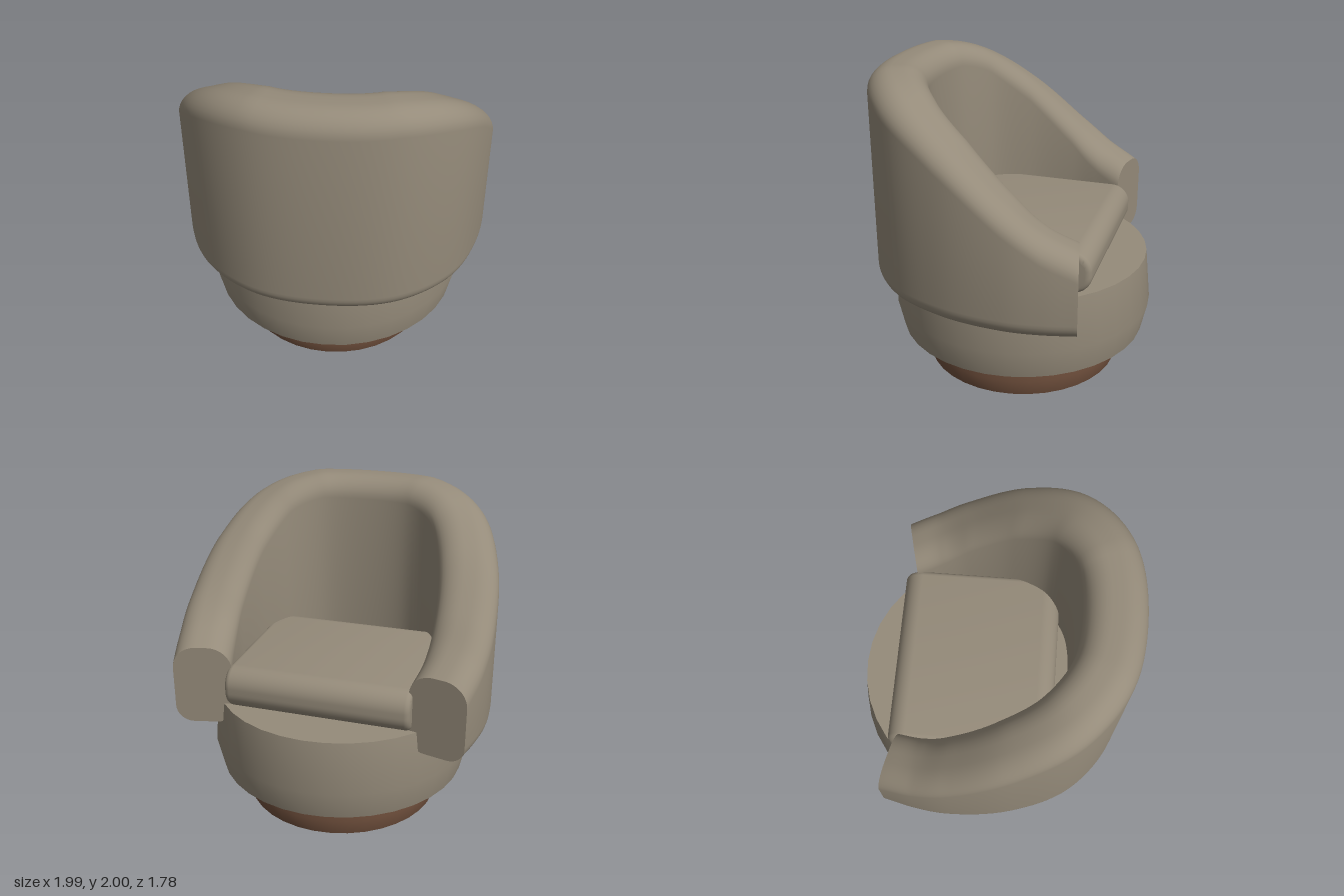
import * as THREE from 'three';
import { mergeVertices, toCreasedNormals } from 'three/addons/utils/BufferGeometryUtils.js';

const fabric = new THREE.MeshStandardMaterial({ color: 0x958b7a });
const wood = new THREE.MeshStandardMaterial({ color: 0x6f4f3c });
const CENTRE_Z = -0.035; // axis of the round base

function part(name, geometry, material) {
  const mesh = new THREE.Mesh(geometry, material);
  mesh.name = name;
  return mesh;
}

// Round drum from [radius, y] pairs, closed at both ends
function drum(name, profile, material) {
  const points = profile.map(([r, y]) => new THREE.Vector2(r, y));
  const mesh = part(name, toCreasedNormals(new THREE.LatheGeometry(points, 36), 0.6), material);
  mesh.position.z = CENTRE_Z;
  return mesh;
}

// Upright rounded section as [offset, y], counterclockwise
function shellSection(top) {
  const bottom = 0.635, half = 0.185, loop = [];
  const corners = [
    [1, -1, 0.11, 0.11], [1, 1, 0.15, 0.14], [-1, 1, 0.15, 0.14], [-1, -1, 0.11, 0.11],
  ];
  corners.forEach(([sx, sy, rx, ry], c) => {
    const cx = sx * (half - rx);
    const cy = sy > 0 ? top - ry : bottom + ry;
    for (let k = 0; k <= 8; k++) {
      const a = (c - 1 + k / 8) * Math.PI / 2;
      loop.push([cx + rx * Math.cos(a), cy + ry * Math.sin(a)]);
    }
  });
  return loop;
}

// Backrest and arms: one section swept round a U, its height falling to the arm ends
function shellGeometry() {
  // x, top height, z along one half of the centreline
  const half = [
    [0.36, 2.0, 0.65], [0.62, 1.92, 0.46], [0.765, 1.71, 0.15],
    [0.81, 1.41, -0.2], [0.79, 1.25, -0.4], [0.745, 1.15, -0.59],
  ];
  const path = [
    ...half.map(([x, y, z]) => new THREE.Vector3(-x, y, z)).reverse(),
    new THREE.Vector3(0, 2.0, 0.705),
    ...half.map(([x, y, z]) => new THREE.Vector3(x, y, z)),
  ];
  const curve = new THREE.CatmullRomCurve3(path, false, 'centripetal');
  const steps = 96, positions = [], index = [];
  let count = 0;
  for (let i = 0; i <= steps; i++) {
    const p = curve.getPoint(i / steps);
    const t = curve.getTangent(i / steps).setY(0).normalize();
    const loop = shellSection(Math.min(p.y, 2));
    count = loop.length;
    for (const [o, y] of loop) positions.push(p.x - t.z * o, y, p.z + t.x * o);
  }
  for (let i = 0; i < steps; i++) {
    for (let j = 0; j < count; j++) {
      const k = (j + 1) % count;
      const a = i * count + j, b = i * count + k;
      index.push(a, a + count, b, b, a + count, b + count);
    }
  }
  // Flat arm ends
  const last = steps * count;
  for (let j = 1; j < count - 1; j++) {
    index.push(0, j, j + 1, last, last + j + 1, last + j);
  }
  const geometry = new THREE.BufferGeometry();
  geometry.setAttribute('position', new THREE.Float32BufferAttribute(positions, 3));
  geometry.setIndex(index);
  return toCreasedNormals(geometry, 0.8);
}

// Seat cushion: rolled side profile extruded across the seat
function cushionGeometry() {
  const bevel = 0.035, r = 0.085;
  const z0 = -0.63 + bevel, z1 = 0.43 - bevel, y0 = 0.76 + bevel, y1 = 1.03 - bevel;
  const s = new THREE.Shape();
  s.absarc(z1 - r, y0 + r, r, -Math.PI / 2, 0);
  s.absarc(z1 - r, y1 - r, r, 0, Math.PI / 2);
  s.absarc(z0 + r, y1 - r, r, Math.PI / 2, Math.PI);
  s.absarc(z0 + r, y0 + r, r, Math.PI, Math.PI * 1.5);
  const depth = 1.18 - 2 * bevel;
  let g = new THREE.ExtrudeGeometry(s, {
    depth, bevelSize: bevel, bevelThickness: bevel, bevelSegments: 4, curveSegments: 8,
  });
  g.translate(0, 0, -depth / 2);
  g.rotateY(-Math.PI / 2); // profile x becomes z
  g.deleteAttribute('normal');
  g.deleteAttribute('uv');
  g = mergeVertices(g, 1e-4);
  return toCreasedNormals(g, 0.7);
}

export function createModel() {
  const chair = new THREE.Group();
  chair.name = 'swivelArmchair';
  chair.add(
    drum('plinth', [[0, 0], [0.635, 0], [0.665, 0.11], [0.63, 0.25], [0, 0.25]], wood),
    drum('seatBase', [[0, 0.245], [0.81, 0.245], [0.85, 0.43], [0.815, 0.768], [0, 0.768]], fabric),
    part('seatCushion', cushionGeometry(), fabric),
    part('backAndArms', shellGeometry(), fabric),
  );
  return chair;
}
